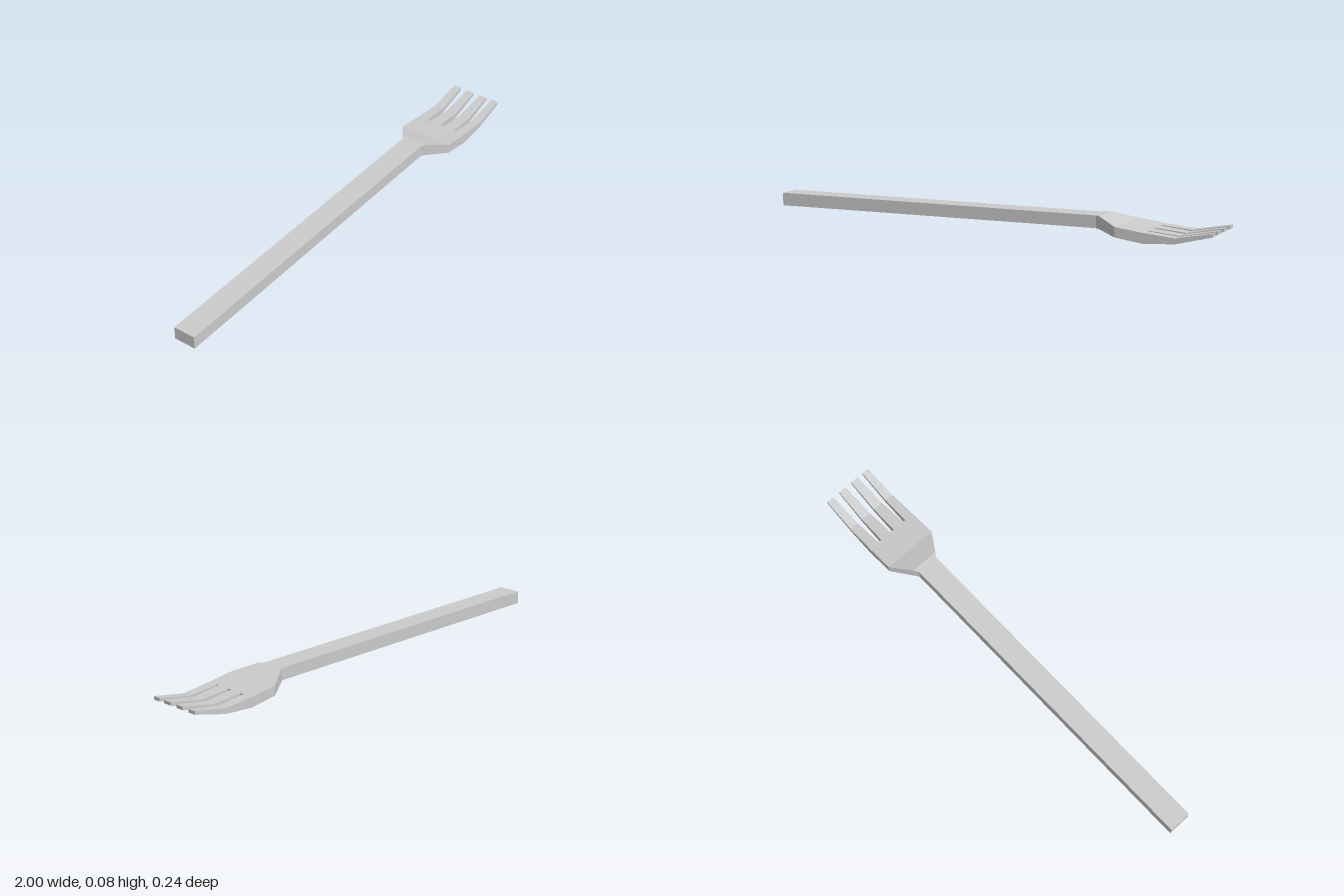
import * as THREE from 'three';

// Lofts rectangular sections [x, bottom, top, zMin, zMax] along x
function loft(name, sections, capStart, capEnd, material) {
  const pos = [];
  const quad = (a, b, c, d) => pos.push(...a, ...b, ...c, ...a, ...c, ...d);
  const rings = sections.map(([x, b, t, z0, z1]) =>
    [[x, b, z0], [x, b, z1], [x, t, z1], [x, t, z0]]);
  for (let i = 0; i < rings.length - 1; i++) {
    const p = rings[i], q = rings[i + 1];
    for (let k = 0; k < 4; k++) {
      const n = (k + 1) % 4;
      quad(p[k], q[k], q[n], p[n]);
    }
  }
  if (capStart) quad(...rings[0]);
  if (capEnd) quad(...rings[rings.length - 1].slice().reverse());
  const geometry = new THREE.BufferGeometry();
  geometry.setAttribute('position', new THREE.Float32BufferAttribute(pos, 3));
  geometry.computeVertexNormals();
  const mesh = new THREE.Mesh(geometry, material);
  mesh.name = name;
  return mesh;
}

export function createModel() {
  const group = new THREE.Group();
  group.name = 'fork';
  const material = new THREE.MeshStandardMaterial({ color: 0xcccccc, flatShading: true });

  // Straight handle, rising gently towards the head
  group.add(loft('handle', [
    [-1, 0.003, 0.058, -0.048, 0.048],
    [0.49, 0.03, 0.081, -0.048, 0.048],
  ], true, false, material));

  // Flared head, dipping down to the root of the tines
  group.add(loft('head', [
    [0.49, 0.03, 0.081, -0.048, 0.048],
    [0.51, 0.03, 0.082, -0.062, 0.062],
    [0.6, 0.015, 0.056, -0.12, 0.12],
    [0.72, 0, 0.043, -0.12, 0.12],
  ], false, true, material));

  // Four tapering tines: [root zMin, root zMax, tip zMin, tip zMax]
  const tines = [
    [0.077, 0.12, 0.083, 0.115],
    [0.012, 0.065, 0.02, 0.056],
    [-0.058, -0.005, -0.047, -0.012],
    [-0.12, -0.074, -0.114, -0.08],
  ];
  // Bend of every tine: [x, bottom, top]
  const bend = [[0.72, 0, 0.043], [0.85, 0.01, 0.033], [1, 0.049, 0.063]];
  tines.forEach(([a0, a1, b0, b1], i) => {
    const sections = bend.map(([x, b, t]) => {
      const f = (x - 0.72) / 0.28;
      return [x, b, t, a0 + (b0 - a0) * f, a1 + (b1 - a1) * f];
    });
    group.add(loft('tine' + (i + 1), sections, false, true, material));
  });
  return group;
}
